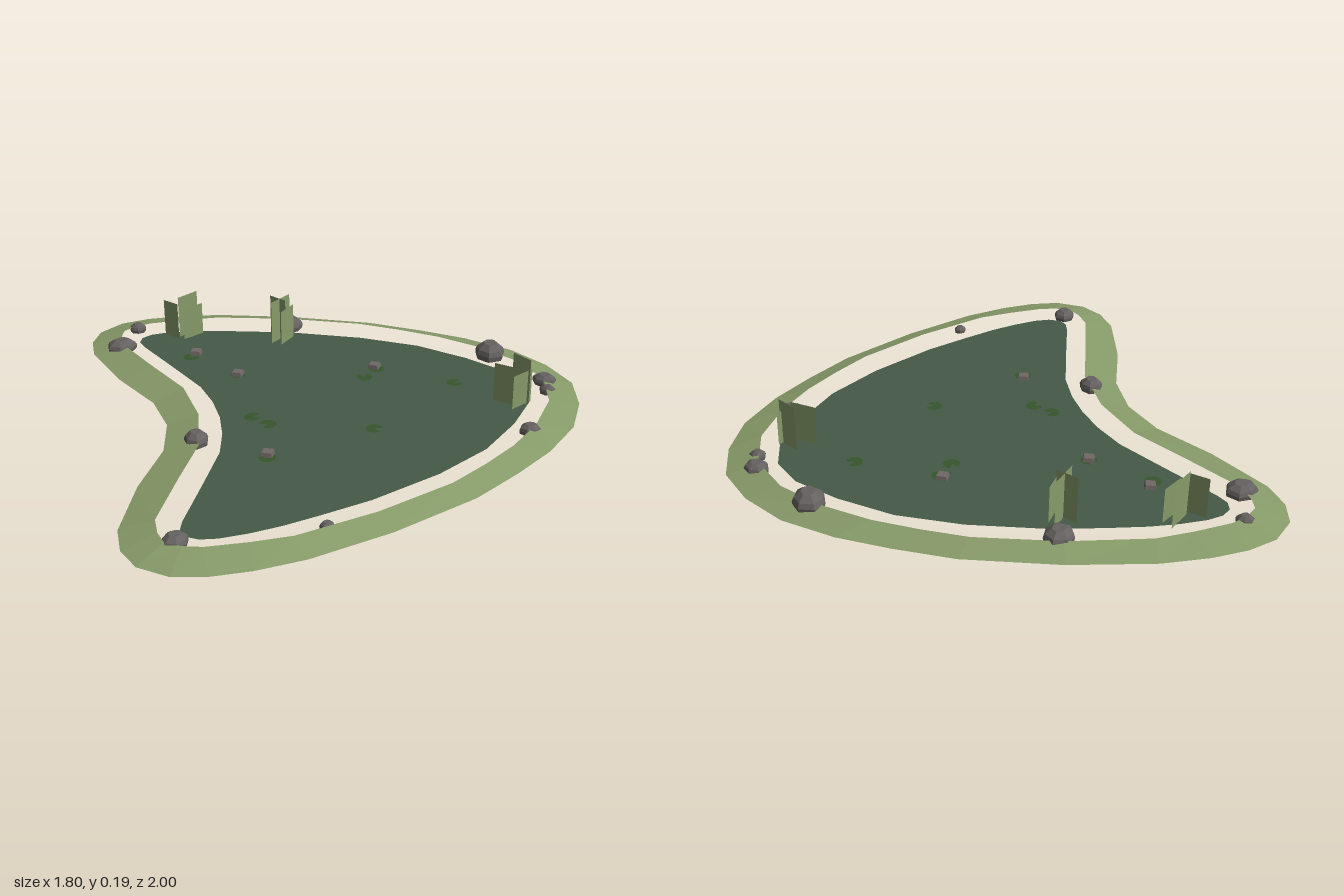
import * as THREE from 'three';

const mat = (name, color, flatShading = true) => {
  const m = new THREE.MeshStandardMaterial({ color, flatShading, side: THREE.DoubleSide });
  m.name = name;
  return m;
};

const WATER_Y = 0.01, BANK_Y = 0.03;

// Half outlines running from the rounded end (+x) to the hollow side (-x)
const BANK_OUTER = [[0.9, 0], [0.86, 0.175], [0.77, 0.345], [0.62, 0.5], [0.46, 0.62], [0.27, 0.745],
  [-0.05, 0.885], [-0.345, 0.975], [-0.52, 1], [-0.655, 1], [-0.77, 0.975], [-0.865, 0.9],
  [-0.905, 0.8], [-0.905, 0.68], [-0.82, 0.42], [-0.71, 0.19], [-0.678, 0]];
const BANK_INNER = [[0.78, 0], [0.735, 0.18], [0.62, 0.35], [0.49, 0.48], [0.35, 0.585], [0.205, 0.68],
  [-0.08, 0.8], [-0.37, 0.88], [-0.51, 0.885], [-0.655, 0.88], [-0.72, 0.86], [-0.77, 0.825],
  [-0.785, 0.77], [-0.785, 0.69], [-0.685, 0.45], [-0.59, 0.235], [-0.56, 0]];
const WATER = [[0.71, 0], [0.675, 0.135], [0.56, 0.29], [0.4, 0.45], [0.19, 0.58], [-0.075, 0.695],
  [-0.26, 0.75], [-0.39, 0.785], [-0.5, 0.805], [-0.6, 0.813], [-0.66, 0.805], [-0.7, 0.78],
  [-0.713, 0.74], [-0.7, 0.69], [-0.61, 0.48], [-0.52, 0.265], [-0.492, 0.13], [-0.483, 0]];

// Mirrors a half outline across z = 0 into a closed loop
const closeLoop = (half) => [...half, ...half.slice(1, -1).reverse().map(([x, z]) => [x, -z])];

// Sloping strip between the outer and inner loops
function bankGeometry() {
  const outer = closeLoop(BANK_OUTER), inner = closeLoop(BANK_INNER), n = outer.length;
  const pos = [], index = [];
  for (let i = 0; i < n; i++) {
    pos.push(outer[i][0], 0, outer[i][1], inner[i][0], BANK_Y, inner[i][1]);
    const a = 2 * i, b = 2 * ((i + 1) % n);
    index.push(a, a + 1, b, b, a + 1, b + 1);
  }
  const g = new THREE.BufferGeometry();
  g.setAttribute('position', new THREE.Float32BufferAttribute(pos, 3));
  g.setIndex(index);
  g.computeVertexNormals();
  return g;
}

// Faceted dome with an uneven outline
function rockGeometry(r, h, seed) {
  const profile = [[0, 0], [0.95, 0], [1, 0.35], [0.88, 0.65], [0.45, 1], [0, 0.97]]
    .map(([x, y]) => new THREE.Vector2(x * r, y * h));
  const g = new THREE.LatheGeometry(profile, 7), p = g.attributes.position;
  for (let i = 0; i < p.count; i++) {
    const x = p.getX(i), z = p.getZ(i);
    const s = 1 + 0.08 * Math.sin(2 * Math.atan2(x, z) + seed * 2.3);
    p.setXYZ(i, x * s, p.getY(i), z * s);
  }
  g.rotateY(seed * 1.7);
  return g;
}

export function createModel() {
  const group = new THREE.Group();
  const grass = mat('grass green', 0x879b69);
  const waterGreen = mat('water green', 0x455946);
  const stone = mat('stone grey', 0x656160);
  const padGreen = mat('pad green', 0x36562c);
  const budGrey = mat('bud grey', 0x706866);

  const add = (name, geometry, material, x = 0, y = 0, z = 0) => {
    const mesh = new THREE.Mesh(geometry, material);
    mesh.name = name;
    mesh.position.set(x, y, z);
    group.add(mesh);
    return mesh;
  };

  add('bank', bankGeometry(), grass);

  const shape = new THREE.Shape(closeLoop(WATER).map(([x, z]) => new THREE.Vector2(x, -z)));
  add('water', new THREE.ShapeGeometry(shape).rotateX(-Math.PI / 2), waterGreen, 0, WATER_Y, 0);

  // Rocks along the bank: x, z, radius, top height
  [[-0.71, -0.865, 0.032, 0.042], [-0.79, -0.695, 0.058, 0.05], [-0.08, -0.755, 0.058, 0.055],
    [0.66, -0.295, 0.064, 0.068], [0.79, -0.015, 0.047, 0.043], [0.77, 0.07, 0.03, 0.038],
    [0.595, 0.36, 0.038, 0.042], [-0.255, 0.825, 0.024, 0.033], [-0.735, 0.81, 0.046, 0.046],
    [-0.59, 0.17, 0.048, 0.053]].forEach(([x, z, r, top], i) =>
    add('rock', rockGeometry(r, top - 0.006, i + 1), stone, x, 0.006, z));

  // Notched lily pads: x, z, turn of the notch
  [[-0.525, -0.54, 0.6], [-0.365, -0.338, 2], [0.115, -0.205, 1.6], [0.18, -0.268, 2.2],
    [0.445, -0.08, 0.1], [-0.365, 0.03, 0], [-0.32, 0.1, 3.4], [0.05, 0.22, -0.5],
    [-0.365, 0.345, 1.5]].forEach(([x, z, turn]) => {
    const g = new THREE.CircleGeometry(0.032, 12, 0.5, Math.PI * 2 - 1);
    add('lilyPad', g.rotateX(-Math.PI / 2).rotateY(turn), padGreen, x, WATER_Y + 0.004, z);
  });

  // Closed four-sided buds resting on some pads
  [[-0.5, -0.57, 0.4], [-0.365, -0.335, 0.3], [0.175, -0.283, 0.2], [-0.36, 0.325, 0.35]]
    .forEach(([x, z, turn]) => {
      const g = new THREE.CylinderGeometry(0.025, 0.03, 0.016, 4);
      add('bud', g.rotateY(turn), budGrey, x, WATER_Y + 0.012, z);
    });

  // Upright reed sheets, three to a clump: x and z of both ends, top height
  [[-0.6, -0.8, -0.55, -0.74, 0.165], [-0.545, -0.76, -0.46, -0.82, 0.185], [-0.53, -0.73, -0.445, -0.78, 0.145],
    [-0.18, -0.61, -0.09, -0.69, 0.19], [-0.145, -0.585, -0.08, -0.66, 0.155], [-0.17, -0.69, -0.12, -0.62, 0.19],
    [0.545, 0.09, 0.62, 0.16, 0.165], [0.625, 0.07, 0.665, 0.15, 0.19], [0.59, 0.18, 0.68, 0.13, 0.145]]
    .forEach(([x0, z0, x1, z1, top]) => {
      const g = new THREE.PlaneGeometry(Math.hypot(x1 - x0, z1 - z0), top - WATER_Y);
      const reed = add('reedSheet', g, grass, (x0 + x1) / 2, (top + WATER_Y) / 2, (z0 + z1) / 2);
      reed.rotation.y = Math.atan2(z0 - z1, x1 - x0);
    });

  return group;
}
